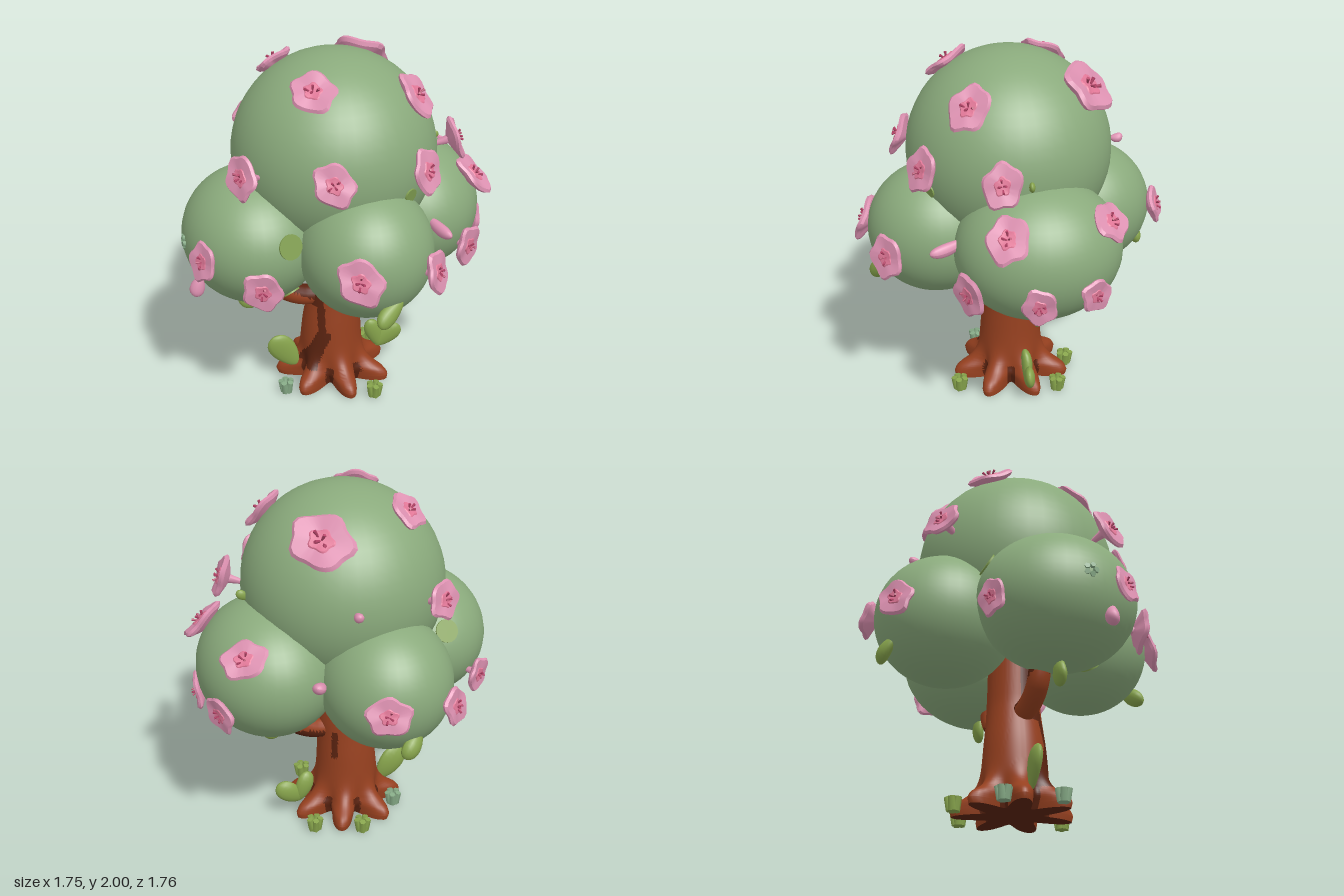
import * as THREE from 'three';
import { toCreasedNormals } from 'three/addons/utils/BufferGeometryUtils.js';

const mat = (name, color) =>
  Object.assign(new THREE.MeshStandardMaterial({ color }), { name });

const V = (x, y, z) => new THREE.Vector3(x, y, z);
const Z = V(0, 0, 1), Y = V(0, 1, 0);

export function createModel() {
  const tree = new THREE.Group();
  tree.name = 'blossomTree';

  const foliage = mat('foliage green', 0x8aaa7c);
  const bark = mat('bark brown', 0x96401f);
  const darkBark = mat('dark bark', 0x5a2310);
  const leafGreen = mat('leaf green', 0x87a44c);
  const olive = mat('patch olive', 0x82a052);
  const sage = mat('sage green', 0x86aa86);
  const petal = mat('petal pink', 0xde92b2);
  const heart = mat('blossom heart', 0xe27898);
  const stamen = mat('stamen red', 0xb8466a);

  const add = (name, geo, material, pos, parent = tree) => {
    const m = new THREE.Mesh(geo, material);
    m.name = name;
    if (pos) m.position.copy(pos);
    parent.add(m);
    return m;
  };

  // Give triangles the first or second material by a rule on their centre
  const paint = (geo, isDark) => {
    const p = geo.attributes.position;
    let start = 0, last = -1;
    for (let i = 0; i < p.count; i += 3) {
      const c = V(0, 0, 0);
      for (let k = 0; k < 3; k++) c.add(V(p.getX(i + k), p.getY(i + k), p.getZ(i + k)));
      const id = isDark(c.divideScalar(3)) ? 1 : 0;
      if (id !== last) {
        if (last >= 0) geo.addGroup(start, i - start, last);
        start = i;
        last = id;
      }
    }
    geo.addGroup(start, p.count - start, last);
    return geo;
  };

  // Foliage balls: centre, radii
  const balls = {
    top: [V(0, 1.442, 0.01), V(0.56, 0.558, 0.56)],
    right: [V(-0.47, 1.035, 0.1), V(0.388, 0.37, 0.433)],
    left: [V(0.455, 1.045, -0.085), V(0.392, 0.38, 0.447)],
    front: [V(0.08, 1.032, 0.42), V(0.363, 0.364, 0.378)],
    back: [V(-0.1, 1.032, -0.42), V(0.363, 0.364, 0.388)],
  };
  const unit = new THREE.SphereGeometry(1, 40, 28);
  for (const [name, [c, r]] of Object.entries(balls)) {
    add(name + 'Foliage', unit, foliage, c).scale.copy(r);
  }

  // Trunk: lathe whose foot is pulled out into seven roots
  const profile = new THREE.SplineCurve([[0.255, 0.03], [0.25, 0.07], [0.21, 0.12], [0.185, 0.2],
    [0.168, 0.38], [0.148, 0.6], [0.14, 0.95]].map(a => new THREE.Vector2(...a))).getPoints(56);
  const trunkGeo = new THREE.LatheGeometry(
    [new THREE.Vector2(0, 0), new THREE.Vector2(0.245, 0), ...profile], 112);
  const rootWave = a => Math.cos(7 * (a + Math.PI / 4));
  const tp = trunkGeo.attributes.position;
  for (let i = 0; i < tp.count; i++) {
    const x = tp.getX(i), y = tp.getY(i), z = tp.getZ(i);
    const k = 0.36 * Math.exp(-Math.pow(y / 0.12, 2));
    const s = 1 + k * rootWave(Math.atan2(x, z));
    const drift = -0.02 * Math.sin(Math.PI * Math.min(y / 0.6, 1)) + 0.01 * Math.min(y / 0.6, 1);
    tp.setXYZ(i, x * s + drift, y, z * s);
  }
  const trunkDark = c => {
    if (c.y < 0.004) return true;
    const a = Math.atan2(c.x, c.z);
    if (c.y < 0.12) return rootWave(a) < -0.7;
    if (c.z > 0 && c.y > 0.5) return c.x < -0.085;
    if (c.z > 0 && c.y > 0.35) return Math.abs(c.x + 0.1) < 0.02;
    if (c.z > 0) return Math.abs(c.x + 0.085 + (0.35 - c.y) * 0.4) < 0.04;
    return c.y > 0.38 && c.y < 0.56 && Math.abs(a - 2.5) < 0.12;
  };
  add('trunk', paint(toCreasedNormals(trunkGeo, 0.8), trunkDark), [bark, darkBark]);

  // Two curved boughs, partly dark
  for (const s of [-1, 1]) {
    const path = new THREE.CatmullRomCurve3([V(s * 0.08, 0.54, -s * 0.01), V(s * 0.2, 0.56, -s * 0.03),
      V(s * 0.31, 0.63, -s * 0.04), V(s * 0.35, 0.78, -s * 0.05)]);
    const geo = new THREE.TubeGeometry(path, 20, 0.06, 18).toNonIndexed();
    const dark = c => s < 0 ? c.y > 0.55 - (c.x + 0.15) * 0.6 : c.y < 0.54 + (c.x - 0.1) * 0.25;
    add('bough', paint(geo, dark), [bark, darkBark]);
  }

  // Leaves: pointed flat ovals running from base to tip
  const leaf = (name, base, tip, width, thick, material = leafGreen, face = Z) => {
    const dir = tip.clone().sub(base), len = dir.length();
    const geo = new THREE.SphereGeometry(1, 14, 12);
    const p = geo.attributes.position;
    for (let i = 0; i < p.count; i++) {
      const y = p.getY(i), w = 1 + 0.25 * y;
      p.setXYZ(i, p.getX(i) * w, y, p.getZ(i) * w + 0.3 * y * y);
    }
    geo.computeVertexNormals();
    const m = add(name, geo, material, base.clone().lerp(tip, 0.5));
    const y = dir.normalize(), x = y.clone().cross(face).normalize();
    m.quaternion.setFromRotationMatrix(new THREE.Matrix4().makeBasis(x, y, x.clone().cross(y)));
    m.scale.set(width / 2, len / 2, thick / 2);
  };
  leaf('groundLeaf', V(-0.23, 0.08, 0.02), V(-0.37, 0.28, 0.02), 0.15, 0.06);
  leaf('groundLeaf', V(0.3, 0.08, -0.06), V(0.23, 0.27, -0.06), 0.1, 0.06);
  leaf('groundLeaf', V(0.27, 0.09, -0.06), V(0.42, 0.21, -0.06), 0.12, 0.06);
  leaf('hangingLeaf', V(-0.46, 0.72, 0.1), V(-0.53, 0.56, 0.1), 0.13, 0.06);
  leaf('hangingLeaf', V(0.42, 0.73, -0.09), V(0.46, 0.56, -0.09), 0.11, 0.06);
  leaf('hangingLeaf', V(0.2, 0.87, 0.71), V(0.06, 0.76, 0.78), 0.1, 0.07);
  leaf('hangingLeaf', V(-0.2, 0.87, -0.71), V(-0.09, 0.75, -0.78), 0.1, 0.07);
  leaf('crownLeaf', V(0.54, 1.42, -0.03), V(0.6, 1.47, -0.03), 0.05, 0.03);

  // Thin round leaf patches on the foliage
  for (const [ball, dx, dy, dz, size] of [['right', 0.35, 0.25, 0.92, 0.068], ['right', -0.08, 0.45, -0.93, 0.065],
    ['right', 0.42, -0.75, 0.55, 0.05], ['top', 0.54, -0.18, 0.82, 0.04]]) {
    const [c, r] = balls[ball], d = V(dx, dy, dz).normalize();
    const m = add('leafPatch', new THREE.CylinderGeometry(size, size, 0.009, 20), olive,
      c.clone().add(d.clone().multiply(r).multiplyScalar(1.002)));
    m.quaternion.setFromUnitVectors(Y, d.divide(r).normalize());
  }

  // Wavy lobed rosette facing +z
  const rosette = (pts, lobe) => {
    const g = new THREE.LatheGeometry(pts.map(a => new THREE.Vector2(...a)), 30);
    const p = g.attributes.position;
    for (let i = 0; i < p.count; i++) {
      const x = p.getX(i), z = p.getZ(i), a = Math.atan2(x, z);
      const s = 1 + lobe * Math.cos(5 * a) + 0.05 * Math.sin(2 * a + 0.5) + 0.03 * Math.sin(7 * a);
      const wave = 0.06 * Math.hypot(x, z) * Math.sin(3 * a);
      p.setXYZ(i, x * s * 0.97, p.getY(i) + wave, z * s * 1.08);
    }
    return toCreasedNormals(g.rotateX(Math.PI / 2), 0.5);
  };
  const petalGeo = rosette([[0, -0.055], [0.045, -0.036], [0.098, -0.01], [0.107, 0.004], [0.096, 0.017], [0.05, 0.015], [0, 0.011]], 0.08);
  const heartGeo = rosette([[0.045, 0.013], [0.038, 0.0185], [0, 0.0165]], 0.12);
  const stamenGeo = new THREE.CylinderGeometry(0.007, 0.004, 0.026, 5).rotateX(Math.PI / 2);
  const stalkGeo = new THREE.CylinderGeometry(0.03, 0.012, 0.11, 7).rotateX(Math.PI / 2);

  // Blossoms: position, ball they face away from, size
  const blossoms = [
    [-0.28, 1.89, -0.22, 'top', 1.05], [-0.175, 1.89, 0.32, 'top', 1.1], [0.38, 1.81, 0.26, 'top', 1.1],
    [0.23, 1.84, -0.37, 'top', 1.45], [-0.56, 1.49, 0.38, 'top'], [-0.13, 1.5, 0.595, 'top'],
    [0.375, 1.49, 0.51, 'top'], [0.65, 1.5, 0.13, 'top'], [-0.38, 1.5, -0.51, 'top'],
    [-0.5, 0.92, 0.56, 'right'], [-0.78, 1.03, 0.375, 'right', 0.9], [-0.69, 0.91, -0.31, 'right', 0.85],
    [-0.04, 1.05, 0.8, 'front', 1.1], [0.385, 1.01, 0.71, 'front'],
    [0.02, 1.05, -0.82, 'back'], [-0.37, 1.0, -0.74, 'back'],
    [0.77, 1.26, 0.12, 'left', 1.1], [0.69, 0.92, 0.31, 'left'], [0.84, 0.91, -0.03, 'left', 0.9],
    [0.78, 0.92, -0.33, 'left', 0.9], [0.66, 1.27, -0.42, 'left', 1.05],
  ];
  blossoms.forEach(([x, y, z, ball, size = 1], i) => {
    const [c, r] = balls[ball];
    const flower = new THREE.Group();
    flower.name = 'blossom';
    flower.position.set(x, y, z);
    const out = flower.position.clone().sub(c).divide(r).divide(r).normalize();
    // Low blossoms look up a little
    if (y < 1.55) out.setY(out.y + 0.25).normalize();
    const spin = new THREE.Quaternion().setFromAxisAngle(Z, 0.4 * Math.sin(i * 1.7));
    flower.quaternion.setFromUnitVectors(Z, out).multiply(spin);
    flower.scale.setScalar(size);
    add('petals', petalGeo, petal, null, flower);
    add('heart', heartGeo, heart, null, flower);
    for (let k = 0; k < 4; k++) {
      const a = k * 1.57 + i, d = k % 2 ? 0.026 : 0.012;
      const s = add('stamen', stamenGeo, stamen, V(Math.cos(a) * d, Math.sin(a) * d, 0.026), flower);
      s.rotation.set(-Math.sin(a) * 0.7, Math.cos(a) * 0.7, 0);
    }
    // Short stalk back into the foliage
    add('stalk', stalkGeo, petal, V(0, 0, -0.075), flower);
    tree.add(flower);
  });

  // Closed buds
  leaf('bud', V(0.45, 1.11, 0.29), V(0.53, 1.07, 0.49), 0.06, 0.07, petal, Y);
  leaf('bud', V(0.26, 1.08, -0.47), V(0.32, 1.11, -0.56), 0.07, 0.06, petal, Y);
  leaf('bud', V(0.1, 1.49, -0.53), V(0.1, 1.5, -0.6), 0.05, 0.05, petal, Y);
  leaf('bud', V(-0.79, 0.89, 0.28), V(-0.82, 0.78, 0.28), 0.08, 0.07, petal);

  // Small tufts: a ring of stubby blades
  const tuft = (x, y, z, material, size = 1) => {
    const g = new THREE.Group();
    g.name = 'tuft';
    g.position.set(x, y, z);
    for (let k = 0; k < 5; k++) {
      const a = k * 1.2566 + x * 9;
      const b = add('blade', new THREE.CylinderGeometry(0.018, 0.024, 0.075, 6), material,
        V(Math.cos(a) * 0.024, 0.038, Math.sin(a) * 0.024), g);
      b.rotation.set(Math.sin(a) * 0.25, 0, -Math.cos(a) * 0.25);
    }
    g.scale.setScalar(size);
    tree.add(g);
    return g;
  };
  tuft(-0.32, 0, 0.17, sage, 0.95);
  tuft(-0.27, 0, -0.13, sage);
  tuft(0.17, 0, 0.32, leafGreen);
  tuft(0.25, 0, -0.24, leafGreen);
  tuft(-0.01, 0, -0.33, leafGreen);
  tuft(-0.8, 1.05, 0.16, sage, 0.85).rotation.z = Math.PI / 2;

  return tree;
}
